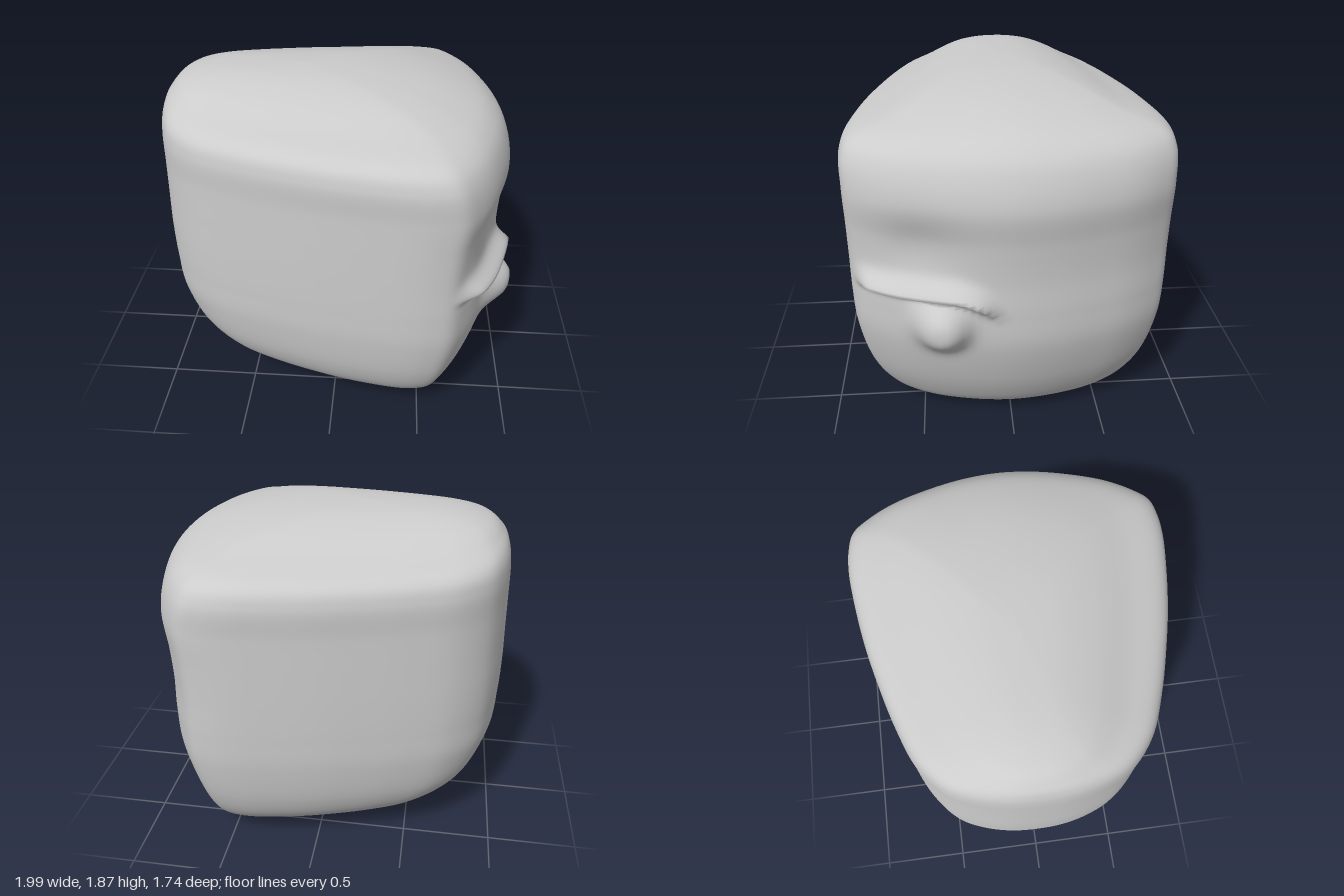
import * as THREE from 'three';

const RINGS = 208, COLS = 180;

// horizontal levels from bottom to top: height, back x, face x, half width
const LEVELS = [
  [0, 0.38, 0.38, 0], [0.008, 0.22, 0.52, 0.2], [0.03, 0, 0.62, 0.4], [0.08, -0.34, 0.7, 0.6],
  [0.19, -0.67, 0.775, 0.73], [0.36, -0.87, 0.85, 0.81], [0.6, -0.97, 0.915, 0.855],
  [0.8, -0.99, 0.925, 0.865], [1.0, -0.995, 0.92, 0.866], [1.2, -0.99, 0.93, 0.866],
  [1.4, -0.985, 0.95, 0.866], [1.57, -0.98, 0.905, 0.863], [1.67, -0.965, 0.83, 0.8],
  [1.74, -0.93, 0.71, 0.6], [1.81, -0.84, 0.47, 0.4], [1.855, -0.62, 0.15, 0.2], [1.87, -0.2, -0.2, 0],
];

// half of the plan outline, from the back to the face: x, z
const PLAN = [
  [-0.99, 0], [-0.98, 0.16], [-0.94, 0.32], [-0.87, 0.46], [-0.72, 0.59], [-0.5, 0.68], [-0.22, 0.76],
  [0, 0.81], [0.26, 0.85], [0.42, 0.865], [0.55, 0.86], [0.66, 0.83], [0.74, 0.74], [0.82, 0.6],
  [0.88, 0.43], [0.93, 0.22], [0.95, 0],
];

const bell = (d, width) => Math.exp(-((d / width) ** 2));

// eyelid fold, eyeball bulge and hollow above the eye, pushed along x
function eyeRelief(y, z) {
  const lidY = 0.925 - 0.1 * Math.max(0, (0.32 - z) / 0.22) ** 2;
  const along = THREE.MathUtils.smoothstep(z, 0.05, 0.2) * (1 - THREE.MathUtils.smoothstep(z, 0.74, 0.85));
  const lid = 0.085 * along * bell(y - lidY, y < lidY ? 0.03 : 0.06);
  const ball = 0.12 * Math.exp(-((Math.hypot((z - 0.38) / 0.13, (y - 0.74) / 0.14)) ** 3));
  const hollow = -0.035 * bell(z - 0.48, 0.22) * bell(y - 1.17, 0.17);
  return Math.max(lid, ball) + hollow;
}

function bodyGeometry() {
  // matching curves of back, face and width against height
  const [back, face, width] = [1, 2, 3].map(
    (k) => new THREE.SplineCurve(LEVELS.map((l) => new THREE.Vector2(l[k], l[0]))));
  const mirrored = PLAN.slice(1, -1).reverse().map(([x, z]) => [x, -z]);
  const plan = new THREE.CatmullRomCurve3(
    [...PLAN, ...mirrored].map(([x, z]) => new THREE.Vector3(x, 0, z)), true);

  const positions = [], index = [];
  for (let i = 0; i <= RINGS; i++) {
    const t = i / RINGS;
    const y = Math.max(0, face.getPoint(t).y);
    const x0 = back.getPoint(t).x, x1 = face.getPoint(t).x, w = width.getPoint(t).x;
    for (let j = 0; j < COLS; j++) {
      const p = plan.getPoint(j / COLS);
      const u = (p.x + 0.99) / 1.94;
      const z = (p.z * w) / 0.865;
      const onFace = THREE.MathUtils.smoothstep(p.x, 0.55, 0.75);
      positions.push(x0 + (x1 - x0) * u + onFace * eyeRelief(y, z), y, z);
      if (i < RINGS) {
        const a = i * COLS + j, b = i * COLS + ((j + 1) % COLS);
        index.push(a, b, b + COLS, a, b + COLS, a + COLS);
      }
    }
  }
  const g = new THREE.BufferGeometry();
  g.setAttribute('position', new THREE.Float32BufferAttribute(positions, 3));
  g.setIndex(index);
  g.computeVertexNormals();
  return g;
}

export function createModel() {
  const group = new THREE.Group();
  group.name = 'blockHead';
  const body = new THREE.Mesh(bodyGeometry(), new THREE.MeshStandardMaterial({ color: 0xcccccc }));
  body.name = 'headWithEye';
  group.add(body);
  return group;
}
